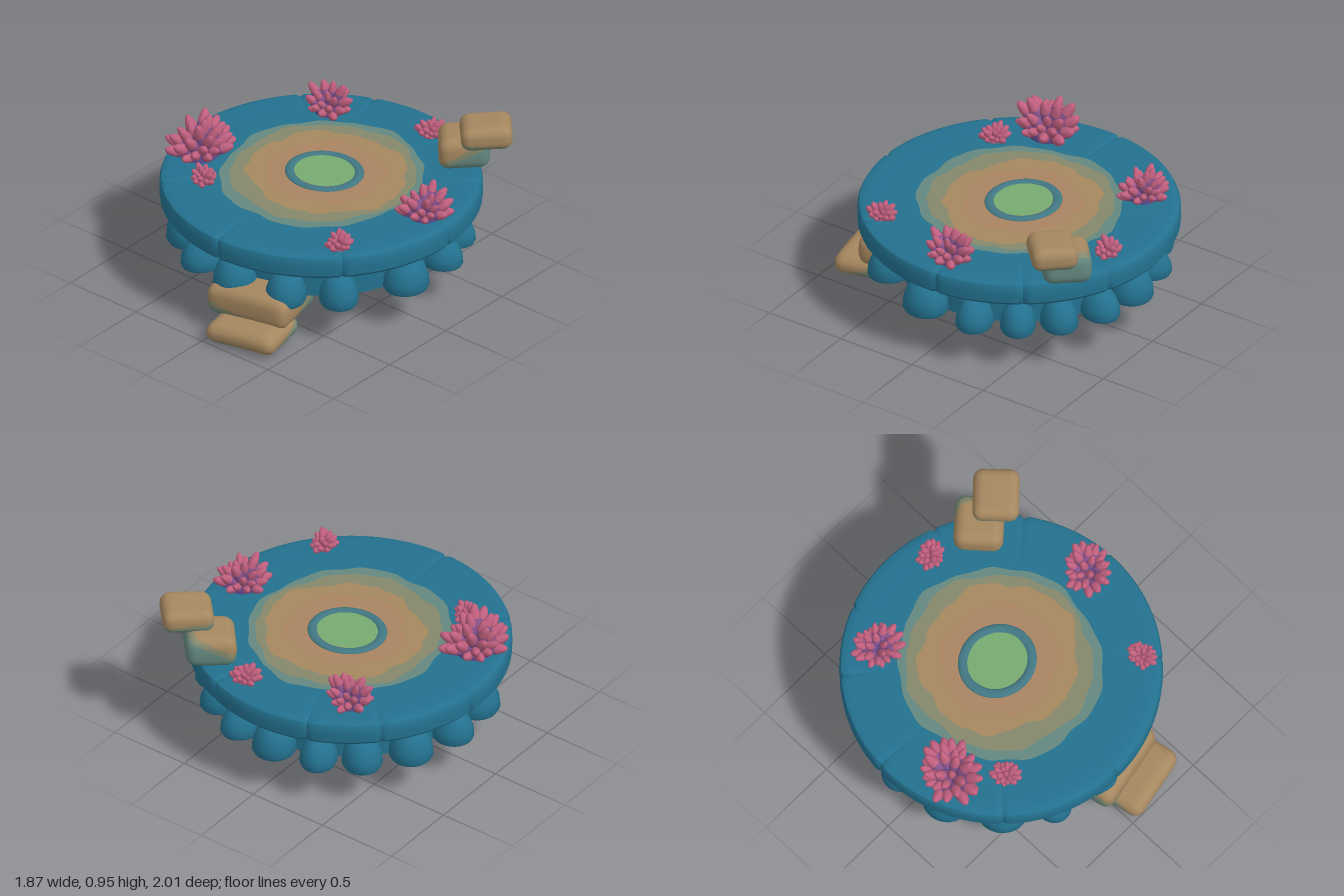
import * as THREE from 'three';
import { mergeGeometries, mergeVertices, toCreasedNormals } from 'three/addons/utils/BufferGeometryUtils.js';

const CZ = -0.065; // platform centre along z
const RAD = Math.PI / 180;

const mat = (name, color) => {
  const m = new THREE.MeshStandardMaterial({ color });
  m.name = name;
  return m;
};

function add(parent, name, geo, material, x = 0, y = 0, z = 0) {
  const m = new THREE.Mesh(geo, material);
  m.name = name;
  m.position.set(x, y, z);
  parent.add(m);
  return m;
}

function lathe(points, segments = 96) {
  return toCreasedNormals(new THREE.LatheGeometry(points.map(p => new THREE.Vector2(...p)), segments), 0.6);
}

// Flat disc with a gently irregular outline, facing up
function wavyDisc(rx, rz, wave, phase) {
  const pts = [];
  for (let i = 0; i < 96; i++) {
    const a = i / 96 * Math.PI * 2;
    const k = 1 + wave * (0.5 * Math.sin(5 * a + phase) + 0.35 * Math.sin(9 * a + 2 * phase) + 0.25 * Math.sin(17 * a));
    pts.push(new THREE.Vector2(rx * k * Math.cos(a), rz * k * Math.sin(a)));
  }
  return new THREE.ShapeGeometry(new THREE.Shape(pts)).rotateX(-Math.PI / 2);
}

// Evenly divided rounded block, split into three colours along a direction
function rockGeometry(size, round, weights, bias) {
  let g = new THREE.BoxGeometry(...size, 20, 12, 20);
  const h = new THREE.Vector3(...size).multiplyScalar(0.5);
  const lim = h.clone().subScalar(round);
  const pos = g.attributes.position;
  const p = new THREE.Vector3(), inner = new THREE.Vector3();
  for (let i = 0; i < pos.count; i++) {
    p.fromBufferAttribute(pos, i);
    inner.copy(p).clamp(lim.clone().negate(), lim);
    p.sub(inner).setLength(round).add(inner);
    // soft bulge of the sides
    const bulge = 1 - 0.06 * (p.y / h.y) ** 2;
    pos.setXYZ(i, p.x * bulge, p.y + 0.006 * Math.sin(9 * p.x + 5 * p.z), p.z * bulge);
  }
  g.deleteAttribute('normal');
  g.deleteAttribute('uv');
  g.clearGroups();
  g = mergeVertices(g);
  g.computeVertexNormals();
  const bins = [[], [], []];
  const w = new THREE.Vector3(...weights);
  const idx = g.index.array, q = g.attributes.position;
  for (let i = 0; i < idx.length; i += 3) {
    p.set(0, 0, 0);
    for (let k = 0; k < 3; k++) p.add(inner.fromBufferAttribute(q, idx[i + k]));
    const s = p.divideScalar(3).divide(h).dot(w) + bias;
    bins[s > 0.25 ? 0 : s > 0.02 ? 1 : 2].push(idx[i], idx[i + 1], idx[i + 2]);
  }
  g.setIndex(bins.flat());
  let start = 0;
  bins.forEach((b, i) => {
    g.addGroup(start, b.length, i);
    start += b.length;
  });
  return g;
}

// Cluster of plump petals, pink at the tips and purple at the roots
function coral(name, radius, height, count, width, cuts, mats) {
  const group = new THREE.Group();
  group.name = name;
  const parts = [[], [], []];
  const up = new THREE.Vector3(0, 1, 0);
  for (let i = 0; i < count; i++) {
    const t = (i + 0.5) / count;
    const az = i * 2.39996;
    const tilt = Math.sqrt(t) * 76 * RAD;
    const vary = 0.9 + 0.12 * Math.sin(i * 4.7);
    const len = vary * THREE.MathUtils.lerp(height, radius, t);
    const dir = new THREE.Vector3(Math.sin(tilt) * Math.cos(az), Math.cos(tilt), Math.sin(tilt) * Math.sin(az));
    const turn = new THREE.Quaternion().setFromUnitVectors(up, dir);
    for (let k = 0; k < 3; k++) {
      const from = cuts[k] * Math.PI, span = (cuts[k + 1] - cuts[k]) * Math.PI;
      if (span <= 0) continue;
      const g = new THREE.SphereGeometry(1, 10, 5, 0, Math.PI * 2, from, span);
      g.scale(width * vary, len * 0.42, width * vary).translate(0, len * 0.58, 0);
      parts[k].push(g.applyQuaternion(turn));
    }
  }
  ['petalTips', 'petalMiddles', 'petalRoots'].forEach((n, k) => {
    if (parts[k].length) add(group, n, mergeGeometries(parts[k]), mats[k]);
  });
  // rounded heart of the cluster
  const heart = new THREE.SphereGeometry(1, 16, 8, 0, Math.PI * 2, 0, Math.PI / 2);
  add(group, 'coralHeart', heart.scale(radius * 0.5, height * 0.4, radius * 0.5), mats[cuts[2] < 1 ? 2 : 0]);
  return group;
}

export function createModel() {
  const model = new THREE.Group();
  model.name = 'reefPlatform';
  const blue = mat('deepBlue', 0x23718f);
  const ringBlue = mat('ringBlue', 0x417783);
  const teal = mat('greyTeal', 0x64877f);
  const olive = mat('olive', 0x85886c);
  const sand = mat('sand', 0xa5875f);
  const warmSand = mat('warmSand', 0xa88360);
  const green = mat('green', 0x76ab70);
  const pink = mat('pink', 0xc05f7e);
  const mauve = mat('mauve', 0x8c5590);
  const purple = mat('purple', 0x5c4a8e);

  // Rim slab with pinched seams between its segments
  const rimGeo = new THREE.LatheGeometry([
    [0.69, 0.49], [0.895, 0.49], [0.92, 0.497], [0.934, 0.515], [0.936, 0.565], [0.934, 0.61],
    [0.925, 0.628], [0.9, 0.638], [0.87, 0.64], [0.6, 0.638], [0, 0.638],
  ].map(p => new THREE.Vector2(...p)), 240);
  const seams = [0, 48, 93, 126, 159, 201, 228, 265.5, 315];
  const pos = rimGeo.attributes.position;
  for (let i = 0; i < pos.count; i++) {
    const x = pos.getX(i), z = pos.getZ(i), r = Math.hypot(x, z);
    if (r < 0.65) continue;
    const a = (Math.atan2(x, z) / RAD + 360) % 360;
    if (seams.some(s => Math.abs(s - a) < 0.3 || a - s > 359.7)) {
      const k = (r - 0.012) / r;
      pos.setXYZ(i, x * k, pos.getY(i) - (pos.getY(i) > 0.6 ? 0.008 : 0), z * k);
    }
  }
  add(model, 'rim', toCreasedNormals(rimGeo, 0.6), blue, 0, 0, CZ);

  // Hollow base wall
  add(model, 'baseWall', lathe([[0.5, 0.42], [0.5, 0.27], [0.52, 0.25], [0.71, 0.25], [0.71, 0.5]]), blue, 0, 0, CZ);
  add(model, 'innerWall', lathe([[0.5, 0.62], [0.5, 0.42]]), olive, 0, 0, CZ);

  // Rounded boulders around the base: angle, half width, height
  const boulders = [
    [0, 0.13, 0.2], [25, 0.12, 0.19], [48, 0.115, 0.19], [80, 0.14, 0.2], [105, 0.11, 0.17], [124, 0.105, 0.17],
    [142, 0.11, 0.18], [162, 0.11, 0.17], [182, 0.13, 0.2], [203, 0.11, 0.17], [222, 0.12, 0.19],
    [244, 0.13, 0.2], [267, 0.12, 0.18], [290, 0.14, 0.2], [315, 0.145, 0.21], [337, 0.11, 0.18],
  ];
  for (const [deg, w, h] of boulders) {
    const profile = [[0, 0], [w * 0.92, 0], [w, 0.02], [w * 0.96, h * 0.4], [w * 0.78, h * 0.72],
      [w * 0.5, h * 0.92], [w * 0.25, h * 0.985], [0, h]];
    const g = toCreasedNormals(new THREE.LatheGeometry(profile.map(p => new THREE.Vector2(...p)), 24), 0.9);
    const b = add(model, 'boulder', g, blue, Math.sin(deg * RAD) * 0.77, 0.245, Math.cos(deg * RAD) * 0.77 + CZ);
    b.rotation.y = deg * RAD;
    b.scale.z = 0.13 / w;
  }

  // Painted sand bands on top
  const bands = [
    ['outerBand', 0.58, 0.605, 0.035, 0, teal, 0, -0.075], ['middleBand', 0.535, 0.545, 0.04, 1, olive, 0.005, -0.085],
    ['sandBand', 0.475, 0.445, 0.06, 2.2, sand, 0.02, -0.1], ['warmBand', 0.35, 0.34, 0.08, 4, warmSand, 0.01, -0.09],
  ];
  bands.forEach(([name, rx, rz, wave, phase, m, x, z], i) =>
    add(model, name, wavyDisc(rx, rz, wave, phase), m, x, 0.6405 + i * 0.002, z));

  // Pool with raised ring
  const ring = new THREE.TorusGeometry(0.208, 0.03, 12, 64).rotateX(Math.PI / 2).scale(1, 0.5, 0.93);
  add(model, 'poolRing', ring, ringBlue, 0, 0.644, -0.095);
  add(model, 'pool', wavyDisc(0.182, 0.167, 0.01, 0), green, 0, 0.652, -0.095);

  // Ceiling of the hollow
  [[0.505, teal], [0.47, olive], [0.4, sand], [0.19, green]].forEach(([r, m], i) =>
    add(model, 'ceilingBand', new THREE.CircleGeometry(r, 64).rotateX(Math.PI / 2), m, 0, 0.615 - i * 0.002, CZ));

  // Stone steps in front and stacked stones at the back
  const stones = [
    ['upperStep', [0.53, 0.2, 0.4], 0.06, [0.4, 0.5, 0.6], 0, [0.14, 0.21, 0.64], 0.2],
    ['lowerStep', [0.45, 0.135, 0.36], 0.06, [0.15, 0.5, 0.5], 0.1, [0.21, 0.08, 0.8], 0.2],
    ['lowerStone', [0.3, 0.2, 0.29], 0.06, [-0.5, 0.6, 0.1], 0, [0.51, 0.73, -0.74], 0.72],
    ['upperStone', [0.3, 0.15, 0.27], 0.055, [0.1, 0.75, 0.1], 0.45, [0.665, 0.877, -0.755], 0.75],
  ];
  for (const [name, size, round, weights, bias, at, yaw] of stones)
    add(model, name, rockGeometry(size, round, weights, bias), [sand, olive, teal], ...at).rotation.y = yaw;

  // Coral clusters: x, z, radius, height, petals, petal width, colour cuts
  const mixed = [0, 0.42, 0.58, 1], plain = [0, 1, 1, 1];
  const corals = [
    [-0.69, 0.21, 0.225, 0.275, 34, 0.036, mixed], [-0.43, -0.64, 0.165, 0.215, 28, 0.028, mixed],
    [0.755, -0.1, 0.175, 0.225, 28, 0.03, mixed], [-0.47, 0.43, 0.1, 0.12, 24, 0.021, plain],
    [0.19, -0.82, 0.105, 0.12, 24, 0.022, plain], [0.605, 0.485, 0.1, 0.12, 24, 0.021, plain],
  ];
  corals.forEach(([x, z, r, h, n, w, cuts], i) => {
    const c = coral('coral', r, h, n, w, cuts, [pink, mauve, purple]);
    c.position.set(x, 0.638, z);
    c.rotation.y = i * 1.3;
    model.add(c);
  });

  return model;
}
